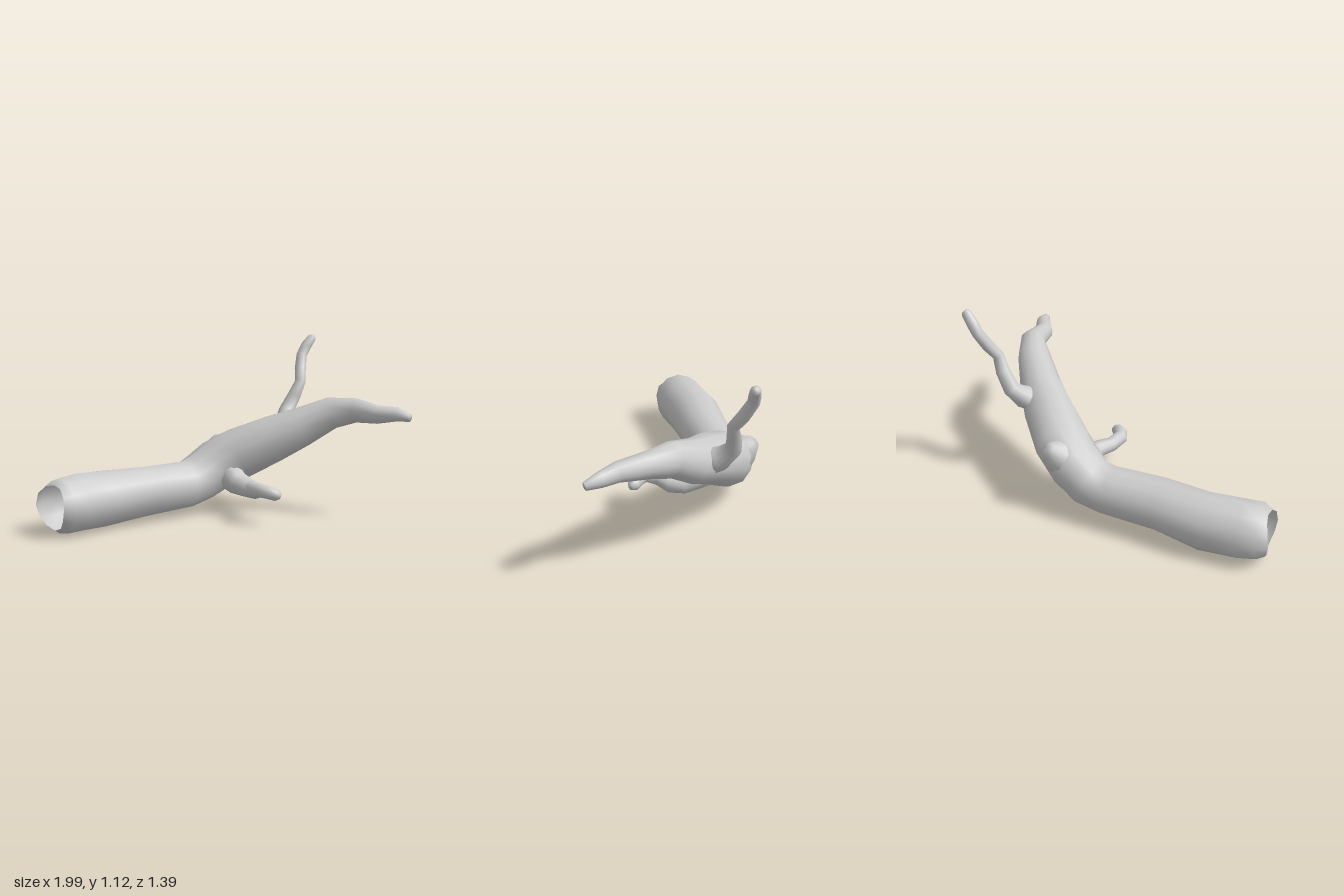
import * as THREE from 'three';

const SIDES = 12;
const bark = new THREE.MeshStandardMaterial({ color: 0xcccccc, side: THREE.DoubleSide });

// Skins round rings along a path of [x, y, z, radius]; frames are carried along without twisting.
function limb(name, path, { openStart = false, wobble = 0.04, raggedStart = 0 } = {}) {
  const pts = path.map(p => new THREE.Vector3(p[0], p[1], p[2]));
  const pos = [], index = [];
  const q = new THREE.Quaternion();
  let last = null;
  const u = new THREE.Vector3(), v = new THREE.Vector3();
  pts.forEach((p, i) => {
    const a = pts[Math.max(i - 1, 0)], b = pts[Math.min(i + 1, pts.length - 1)];
    const t = b.clone().sub(a).normalize();
    if (!last) {
      u.set(0, 1, 0).cross(t).normalize();
    } else {
      u.applyQuaternion(q.setFromUnitVectors(last, t));
    }
    v.crossVectors(t, u);
    last = t;
    for (let j = 0; j < SIDES; j++) {
      const ang = (j / SIDES) * Math.PI * 2;
      const r = path[i][3] * (1 + wobble * Math.sin(3 * ang + i * 1.7));
      const c = p.clone().addScaledVector(u, Math.cos(ang) * r).addScaledVector(v, Math.sin(ang) * r);
      // Broken rim: the sides stick out further than the top and bottom
      if (i === 0) c.addScaledVector(t, raggedStart * Math.sin(ang) ** 2);
      pos.push(c.x, c.y, c.z);
    }
  });
  for (let i = 0; i < pts.length - 1; i++) {
    for (let j = 0; j < SIDES; j++) {
      const k = (j + 1) % SIDES;
      const a = i * SIDES + j, b = i * SIDES + k;
      index.push(a, b, b + SIDES, a, b + SIDES, a + SIDES);
    }
  }
  // Caps
  const cap = (ring, flip) => {
    const c = pos.length / 3;
    pos.push(...pts[ring].toArray());
    for (let j = 0; j < SIDES; j++) {
      const a = ring * SIDES + j, b = ring * SIDES + (j + 1) % SIDES;
      index.push(c, flip ? b : a, flip ? a : b);
    }
  };
  if (!openStart) cap(0, true);
  cap(pts.length - 1, false);

  const geo = new THREE.BufferGeometry();
  geo.setAttribute('position', new THREE.Float32BufferAttribute(pos, 3));
  geo.setIndex(index);
  geo.computeVertexNormals();
  const mesh = new THREE.Mesh(geo, bark);
  mesh.name = name;
  return mesh;
}

export function createModel() {
  const group = new THREE.Group();
  group.name = 'fallenBranch';

  // Thick hollow-ended stem, bending forward and up, thinning to a tip
  group.add(limb('trunk', [
    [-1.0, 0.19, -0.525, 0.135],
    [-0.93, 0.19, -0.525, 0.165],
    [-0.82, 0.19, -0.525, 0.172],
    [-0.6, 0.19, -0.52, 0.172],
    [-0.32, 0.203, -0.475, 0.157],
    [0.0, 0.205, -0.445, 0.147],
    [0.12, 0.235, -0.43, 0.155],
    [0.24, 0.31, -0.39, 0.165],
    [0.35, 0.385, -0.31, 0.168],
    [0.5, 0.485, -0.13, 0.15],
    [0.61, 0.555, 0.01, 0.128],
    [0.72, 0.655, 0.17, 0.102],
    [0.785, 0.68, 0.32, 0.077],
    [0.78, 0.665, 0.49, 0.058],
    [0.83, 0.67, 0.6, 0.045],
    [0.845, 0.655, 0.69, 0.024],
  ], { openStart: true, raggedStart: 0.035 }));

  // Short snapped-off knot on the outside of the bend
  group.add(limb('knot', [
    [0.27, 0.34, -0.4, 0.14],
    [0.33, 0.41, -0.465, 0.095],
    [0.36, 0.46, -0.505, 0.045],
  ]));

  // Crooked twig reaching forward, low on the inside of the bend
  group.add(limb('lowerTwig', [
    [0.24, 0.27, -0.3, 0.1],
    [0.235, 0.215, -0.2, 0.075],
    [0.24, 0.19, -0.1, 0.06],
    [0.215, 0.19, -0.03, 0.052],
    [0.15, 0.205, 0.02, 0.045],
    [0.115, 0.222, 0.09, 0.044],
    [0.135, 0.215, 0.145, 0.042],
    [0.17, 0.2, 0.19, 0.038],
    [0.185, 0.195, 0.212, 0.02],
  ]));

  // Crooked twig rising steeply from the outer side
  group.add(limb('upperTwig', [
    [0.58, 0.52, -0.08, 0.09],
    [0.65, 0.565, -0.165, 0.07],
    [0.71, 0.64, -0.21, 0.05],
    [0.765, 0.74, -0.19, 0.043],
    [0.8, 0.83, -0.165, 0.035],
    [0.845, 0.91, -0.205, 0.037],
    [0.89, 1.0, -0.235, 0.035],
    [0.925, 1.06, -0.225, 0.035],
    [0.965, 1.11, -0.21, 0.03],
    [0.98, 1.122, -0.208, 0.018],
  ]));

  return group;
}
